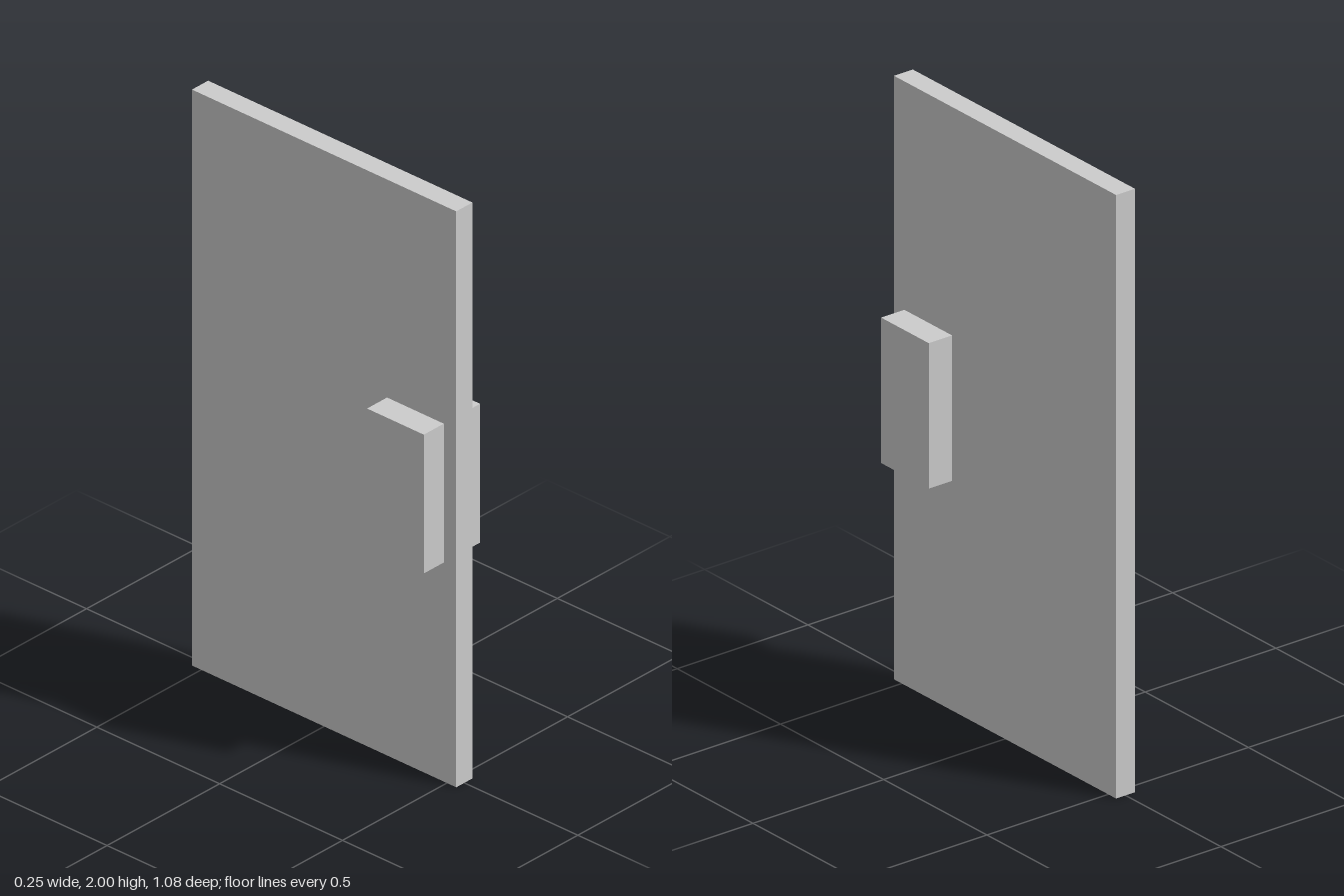
import * as THREE from 'three';

const PANEL = { width: 0.072, height: 2, depth: 1.076 };
const HANDLE = { reach: 0.125, height: 0.482, depth: 0.231, y: 1.002, z: 0.372 };

export function createModel() {
  const model = new THREE.Group();
  model.name = 'door';
  const material = new THREE.MeshStandardMaterial({ color: 0xcccccc });

  const addBox = (name, size, position) => {
    const mesh = new THREE.Mesh(new THREE.BoxGeometry(...size), material);
    mesh.name = name;
    mesh.position.set(...position);
    model.add(mesh);
  };

  // Upright door slab
  addBox('doorPanel', [PANEL.width, PANEL.height, PANEL.depth], [0, PANEL.height / 2, 0]);

  // One block handle on each face, near the front edge
  const thickness = HANDLE.reach - PANEL.width / 2;
  for (const [name, side] of [['leftHandle', 1], ['rightHandle', -1]]) {
    addBox(name, [thickness, HANDLE.height, HANDLE.depth],
      [side * (PANEL.width / 2 + thickness / 2), HANDLE.y, HANDLE.z]);
  }

  return model;
}
